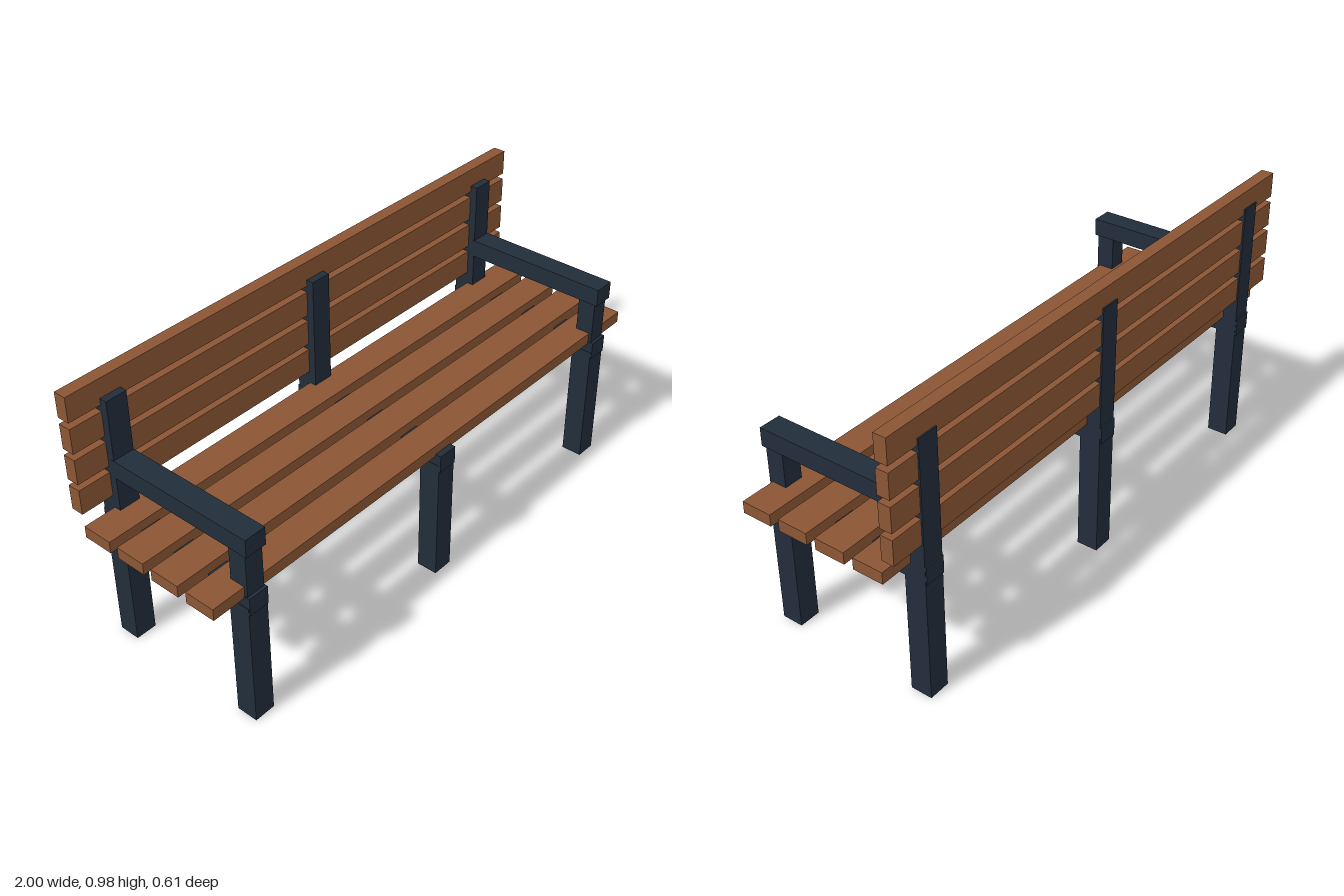
import * as THREE from 'three';

export function createModel() {
  const bench = new THREE.Group();
  bench.name = 'bench';
  const wood = new THREE.MeshStandardMaterial({ color: 0x8b5635 });
  wood.name = 'brown wood';
  const metal = new THREE.MeshStandardMaterial({ color: 0x222d3b });
  metal.name = 'dark navy frame';

  // Box given by its centre x, width and its y and z extents
  function addBox(parent, name, material, x, width, y0, y1, z0, z1) {
    const mesh = new THREE.Mesh(new THREE.BoxGeometry(width, y1 - y0, z1 - z0), material);
    mesh.position.set(x, (y0 + y1) / 2, (z0 + z1) / 2);
    mesh.name = name;
    parent.add(mesh);
  }

  // Three frames; only the outer two carry armrests
  for (const x of [-0.847, 0, 0.847]) {
    const frame = new THREE.Group();
    frame.name = x === 0 ? 'middleFrame' : x > 0 ? 'leftFrame' : 'rightFrame';
    addBox(frame, 'frontLeg', metal, x, 0.075, 0, 0.45, 0.224, 0.299);
    addBox(frame, 'backPost', metal, x, 0.075, 0, 0.915, -0.299, -0.224);
    addBox(frame, 'seatRail', metal, x, 0.073, 0.427, 0.49, -0.304, 0.304);
    if (x !== 0) {
      addBox(frame, 'armSupport', metal, x, 0.066, 0.48, 0.655, 0.23, 0.294);
      addBox(frame, 'armrest', metal, x, 0.077, 0.644, 0.707, -0.235, 0.305);
    }
    bench.add(frame);
  }

  // Four seat planks and four backrest planks
  for (let i = 0; i < 4; i++) {
    const z = 0.229 - i * 0.1411;
    addBox(bench, 'seatPlank', wood, 0, 2, 0.482, 0.523, z - 0.054, z + 0.054);
    const y = 0.61 + i * 0.1087;
    addBox(bench, 'backPlank', wood, 0, 2, y - 0.0435, y + 0.0435, -0.294, -0.25);
  }
  return bench;
}
